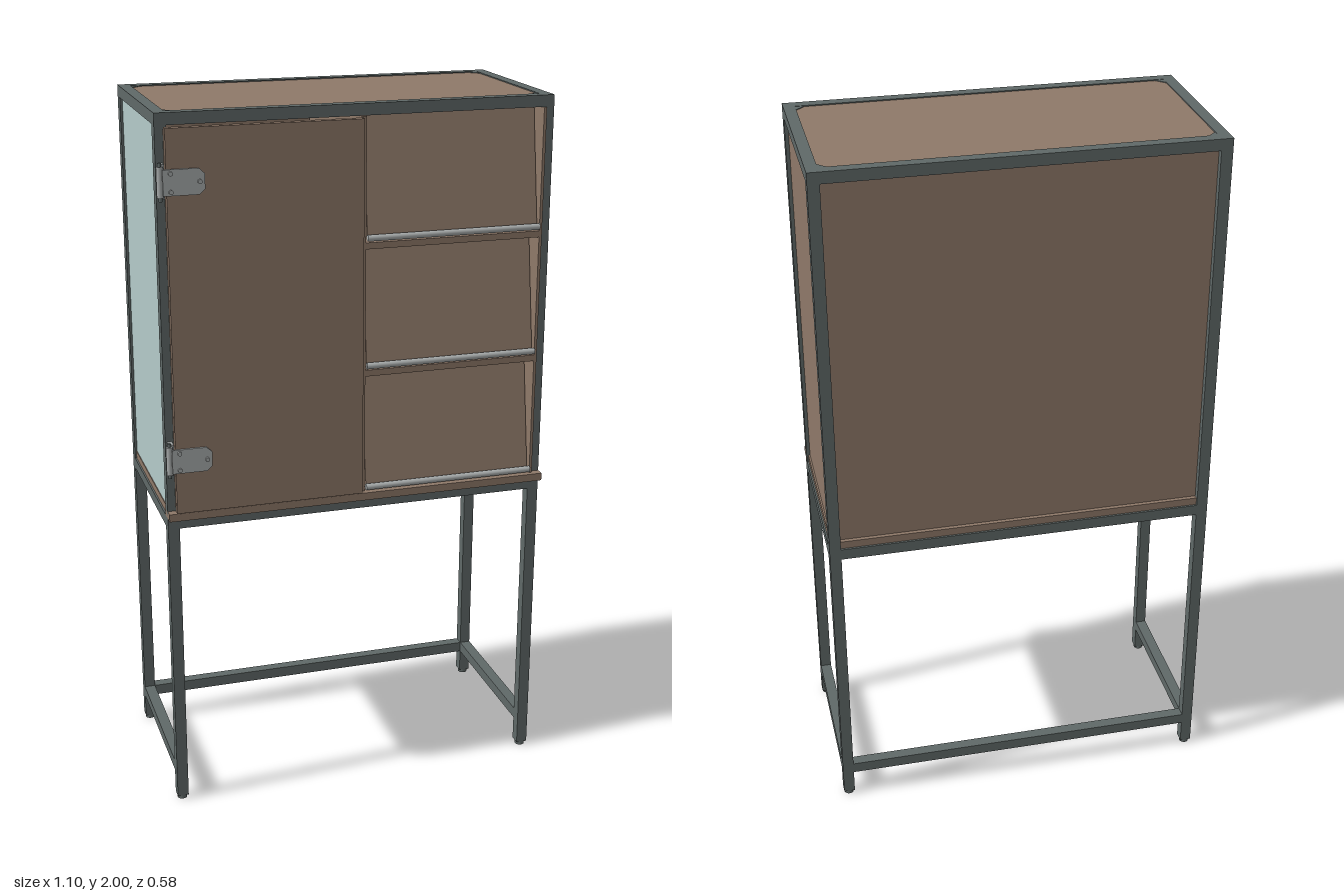
import * as THREE from 'three';

const mat = (name, color) => {
  const m = new THREE.MeshStandardMaterial({ color });
  m.name = name;
  return m;
};

export function createModel() {
  const model = new THREE.Group();
  model.name = 'cabinetOnStand';
  const steel = mat('darkSteel', 0x606968);
  const wood = mat('brownWood', 0x8f7969);
  const glass = mat('paleBluePanel', 0xb4cbca);
  const metal = mat('lightMetal', 0xa9adad);

  // Box given by its lower and upper limits on each axis
  const box = (name, material, [x0, x1], [y0, y1], [z0, z1], parent = model) => {
    const mesh = new THREE.Mesh(new THREE.BoxGeometry(x1 - x0, y1 - y0, z1 - z0), material);
    mesh.position.set((x0 + x1) / 2, (y0 + y1) / 2, (z0 + z1) / 2);
    mesh.name = name;
    parent.add(mesh);
    return mesh;
  };
  const rod = (name, material, radius, length, axis, x, y, z, parent = model) => {
    const mesh = new THREE.Mesh(new THREE.CylinderGeometry(radius, radius, length, 16), material);
    if (axis === 'x') mesh.rotation.z = Math.PI / 2;
    if (axis === 'z') mesh.rotation.x = Math.PI / 2;
    mesh.position.set(x, y, z);
    mesh.name = name;
    parent.add(mesh);
    return mesh;
  };

  const X = 0.55, ZB = -0.288, ZF = 0.24, T = 0.032;

  // Steel frame: posts with feet, then side, back and front rails
  for (const s of [-1, 1]) {
    const px = s < 0 ? [-X, -X + T] : [X - T, X];
    for (const pz of [[ZB, ZB + T], [ZF - T, ZF]]) {
      box('post', steel, px, [0.012, 2], pz);
      rod('foot', steel, 0.014, 0.014, 'y', s * (X - T / 2), 0.007, (pz[0] + pz[1]) / 2);
    }
    for (const y of [[0.083, 0.115], [0.858, 0.89], [1.968, 2]]) {
      box('sideRail', steel, px, y, [ZB + T, ZF - T]);
    }
  }
  const inner = [-X + T, X - T];
  for (const y of [[0.083, 0.115], [0.858, 0.89], [1.968, 2]]) {
    box('backRail', steel, inner, y, [ZB, ZB + T]);
    if (y[0] > 0.5) box('frontRail', steel, inner, y, [ZF - T, ZF]);
  }

  // Triangular gussets in the corners of the top
  const gusset = new THREE.Shape([[0, 0], [0.026, 0], [0, 0.026]].map(p => new THREE.Vector2(...p)));
  for (const sx of [-1, 1]) for (const back of [true, false]) {
    const geo = new THREE.ExtrudeGeometry(gusset, { depth: 0.006, bevelEnabled: false });
    const mesh = new THREE.Mesh(geo, steel);
    mesh.rotation.set(-Math.PI / 2, 0, back ? (sx < 0 ? -Math.PI / 2 : Math.PI) : (sx < 0 ? 0 : Math.PI / 2));
    mesh.position.set(sx * (X - T), 1.993, back ? ZB + T : ZF - T);
    mesh.name = 'cornerGusset';
    model.add(mesh);
  }

  // Cabinet panels
  box('topPanel', wood, inner, [1.975, 1.997], [ZB + T, ZF - T]);
  box('backPanel', wood, inner, [0.912, 1.968], [ZB + 0.018, ZB + T]);
  box('rightSidePanel', glass, [-0.543, -0.525], [0.912, 1.968], [ZB + T, ZF - T]);
  box('leftSidePanel', wood, [0.525, 0.54], [0.912, 1.968], [ZB + T, ZF - T]);
  box('basePanel', wood, [-0.545, 0.545], [0.89, 0.912], [ZB + 0.006, ZF - T]);
  box('baseLip', wood, [-X, X], [0.89, 0.912], [ZF - T, 0.265]);
  box('divider', wood, [0, 0.014], [0.912, 1.968], [-0.25, 0.25]);
  box('bayEndPanel', wood, [0.517, 0.525], [0.912, 1.968], [-0.25, 0.25]);

  // Three display bays, each with a tilted board and a round retaining bar
  [[0.912, 1.252], [1.27, 1.611], [1.629, 1.968]].forEach(([y0, y1], i) => {
    const bay = new THREE.Group();
    bay.name = 'displayBay';
    model.add(bay);
    if (i) box('bayShelf', wood, [0.014, 0.517], [y0 - 0.018, y0], [-0.25, 0.25], bay);
    const board = box('tiltedBoard', wood, [0.02, 0.512], [y0 + 0.004, y1 - 0.006], [0.207, 0.219], bay);
    board.rotation.x = -0.16;
    rod('retainingBar', metal, 0.009, 0.498, 'x', 0.266, y0 + 0.013, 0.253, bay);
  });

  // Door with backing panel
  const door = new THREE.Group();
  door.name = 'door';
  model.add(door);
  box('doorFace', wood, [-0.53, 0], [0.917, 1.966], [0.256, 0.276], door);
  for (const x of [[-0.528, -0.468], [-0.45, -0.052], [-0.034, -0.004]]) {
    box('doorBacking', wood, x, [0.925, 1.958], [0.242, 0.256], door);
  }

  // Hinges: clipped-corner leaf, knuckle, post bracket and screws
  const leaf = new THREE.Shape([
    [-0.54, -0.034], [-0.445, -0.034], [-0.43, -0.02],
    [-0.43, 0.02], [-0.445, 0.034], [-0.54, 0.034],
  ].map(p => new THREE.Vector2(...p)));
  for (const y of [1.07, 1.828]) {
    const hinge = new THREE.Group();
    hinge.name = 'hinge';
    hinge.position.y = y;
    model.add(hinge);
    const plate = new THREE.Mesh(new THREE.ExtrudeGeometry(leaf, { depth: 0.006, bevelEnabled: false }), metal);
    plate.position.z = 0.276;
    plate.name = 'hingeLeaf';
    hinge.add(plate);
    rod('hingeKnuckle', metal, 0.009, 0.08, 'y', -0.545, 0, 0.268, hinge);
    rod('hingePin', steel, 0.005, 0.1, 'y', -0.545, 0, 0.268, hinge);
    box('hingeBracket', metal, [-0.545, -0.532], [-0.045, 0.045], [0.238, 0.266], hinge);
    for (const [x, sy] of [[-0.52, 0.024], [-0.52, -0.024], [-0.444, 0]]) {
      rod('hingeScrew', metal, 0.006, 0.008, 'z', x, sy, 0.284, hinge);
    }
  }
  return model;
}
